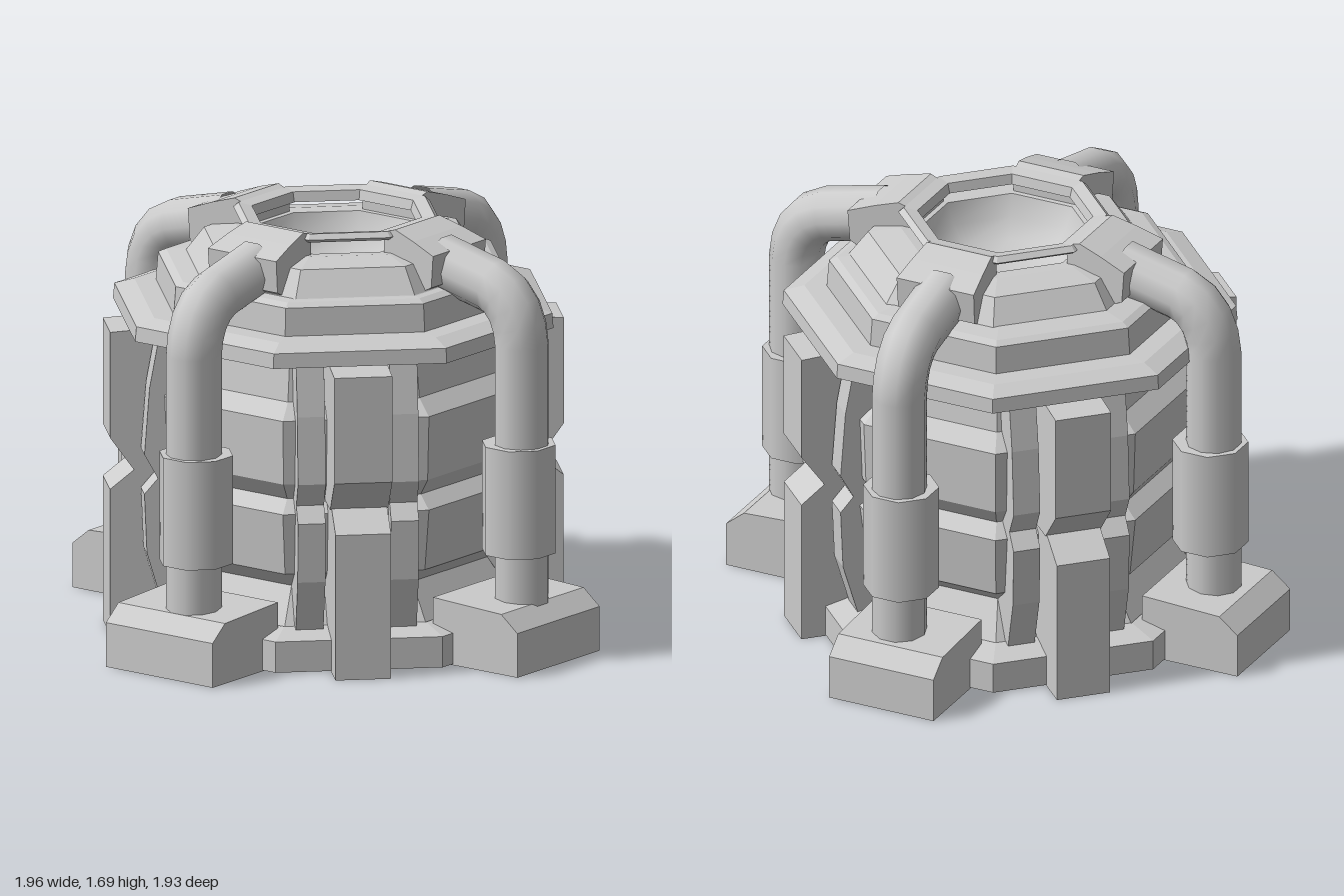
import * as THREE from 'three';

const flat = new THREE.MeshStandardMaterial({ color: 0xcccccc, flatShading: true });
const smooth = new THREE.MeshStandardMaterial({ color: 0xcccccc, side: THREE.DoubleSide });

function add(parent, name, geometry, material = flat) {
  const mesh = new THREE.Mesh(geometry, material);
  mesh.name = name;
  parent.add(mesh);
  return mesh;
}

function addGroup(parent, name) {
  const group = new THREE.Group();
  group.name = name;
  parent.add(group);
  return group;
}

// Eight-sided turned form; profile is [distance to flat side, y], bottom to top
function octagon(profile) {
  const k = 1 / Math.cos(Math.PI / 8);
  return new THREE.LatheGeometry(profile.map(([r, y]) => new THREE.Vector2(r * k, y)), 8, Math.PI / 8);
}

// Slab cut from a [radius, y] profile; its width may taper from inner to outer radius
function slab(profile, width, offset = 0, innerWidth = width) {
  const shape = new THREE.Shape(profile.map(([r, y]) => new THREE.Vector2(r, y)));
  const geo = new THREE.ExtrudeGeometry(shape, { depth: 1, bevelEnabled: false }).translate(0, 0, -0.5);
  const radii = profile.map(([r]) => r);
  const inner = Math.min(...radii);
  const outer = Math.max(...radii);
  const pos = geo.attributes.position;
  for (let i = 0; i < pos.count; i++) {
    const t = (pos.getX(i) - inner) / (outer - inner);
    pos.setZ(i, offset + pos.getZ(i) * THREE.MathUtils.lerp(innerWidth, width, t));
  }
  geo.computeVertexNormals();
  return geo;
}

function buildBody(model) {
  const body = addGroup(model, 'body');
  body.position.set(-0.01, 0, -0.03);

  add(body, 'base', octagon([[0, 0.005], [0.8, 0.005], [0.8, 0.13], [0.68, 0.16]]));
  add(body, 'bandedCore', octagon([
    [0.7, 0.12], [0.58, 0.3], [0.67, 0.37], [0.7, 0.62], [0.64, 0.67],
    [0.69, 0.74], [0.7, 1.0], [0.63, 1.06], [0.6, 1.26],
  ]));
  add(body, 'flange', octagon([[0.55, 1.25], [0.83, 1.25], [0.825, 1.31], [0.75, 1.335], [0.6, 1.34]]));
  add(body, 'drum', octagon([[0.67, 1.32], [0.66, 1.45], [0.63, 1.465], [0.5, 1.48]]));

  // Ribs and their slimmer flanking struts on the four sides; front and back sit further out
  for (let i = 0; i < 4; i++) {
    const side = addGroup(body, 'sideRibs');
    side.rotation.y = i * Math.PI / 2;
    const out = i % 2 ? 0.93 : 0.9;
    add(side, 'lowerRib', slab([[0.6, 0], [out, 0], [out, 0.59], [0.8, 0.67], [0.6, 0.67]], 0.22));
    add(side, 'upperRib', slab([[0.6, 0.66], [0.8, 0.66], [out, 0.8], [out, 1.23], [0.6, 1.25]], 0.23));
    for (const s of [-1, 1]) {
      add(side, 'lowerStrut', slab([[0.55, 0.12], [0.7, 0.12], [0.77, 0.36], [0.78, 0.6], [0.72, 0.67], [0.55, 0.67]], 0.11, s * 0.185));
      add(side, 'upperStrut', slab([[0.55, 0.65], [0.72, 0.65], [0.78, 0.76], [0.76, 1.03], [0.72, 1.25], [0.55, 1.25]], 0.11, s * 0.185));
    }
  }

  // Corner feet: the front pair is broader than the back pair
  for (let i = 0; i < 4; i++) {
    const foot = add(body, 'foot', slab(
      [[0.7, 0], [1.12, 0], [1.12, 0.18], [1.04, 0.245], [0.7, 0.26]], i < 2 ? 0.46 : 0.53));
    foot.rotation.y = Math.PI / 4 + i * Math.PI / 2;
  }
}

function buildCrown(model) {
  const crown = addGroup(model, 'crown');
  add(crown, 'roof', octagon([[0.62, 1.44], [0.57, 1.47], [0.5, 1.57], [0.38, 1.59], [0.32, 1.585]]));
  add(crown, 'bowl', octagon([[0, 1.38], [0.13, 1.39], [0.23, 1.43], [0.29, 1.5], [0.32, 1.585]]), smooth);
  add(crown, 'rim', octagon([[0.31, 1.63], [0.37, 1.645], [0.39, 1.66], [0.37, 1.68], [0.32, 1.67], [0.31, 1.63]]));

  // Corner brackets carry the rim and take the pipes
  for (let i = 0; i < 4; i++) {
    const bracket = add(crown, 'bracket', slab([
      [0.34, 1.5], [0.54, 1.46], [0.6, 1.49], [0.61, 1.62], [0.5, 1.66], [0.4, 1.69], [0.34, 1.67],
    ], 0.34, 0, 0.27));
    bracket.rotation.y = Math.PI / 4 + i * Math.PI / 2;
  }
}

// Pipe and sleeve, laid out along +x and turned to each corner
function buildPipes(model) {
  const path = new THREE.CurvePath();
  const at = (r, y) => new THREE.Vector3(r, y, 0);
  path.add(new THREE.LineCurve3(at(0.92, 0.2), at(0.92, 1.28)));
  path.add(new THREE.QuadraticBezierCurve3(at(0.92, 1.28), at(0.91, 1.44), at(0.79, 1.49)));
  path.add(new THREE.LineCurve3(at(0.79, 1.49), at(0.52, 1.555)));
  const pipe = new THREE.TubeGeometry(path, 24, 0.11, 10);
  const sleeve = new THREE.CylinderGeometry(0.15, 0.15, 0.44, 8);
  sleeve.rotateY(Math.PI / 8).translate(0.905, 0.655, 0);

  for (let i = 0; i < 4; i++) {
    const corner = addGroup(model, 'cornerPipe');
    corner.rotation.y = Math.PI / 4 + i * Math.PI / 2;
    add(corner, 'pipe', pipe, smooth);
    add(corner, 'sleeve', sleeve, smooth);
  }
}

export function createModel() {
  const model = new THREE.Group();
  model.name = 'reactor';
  buildBody(model);
  buildCrown(model);
  buildPipes(model);
  return model;
}
